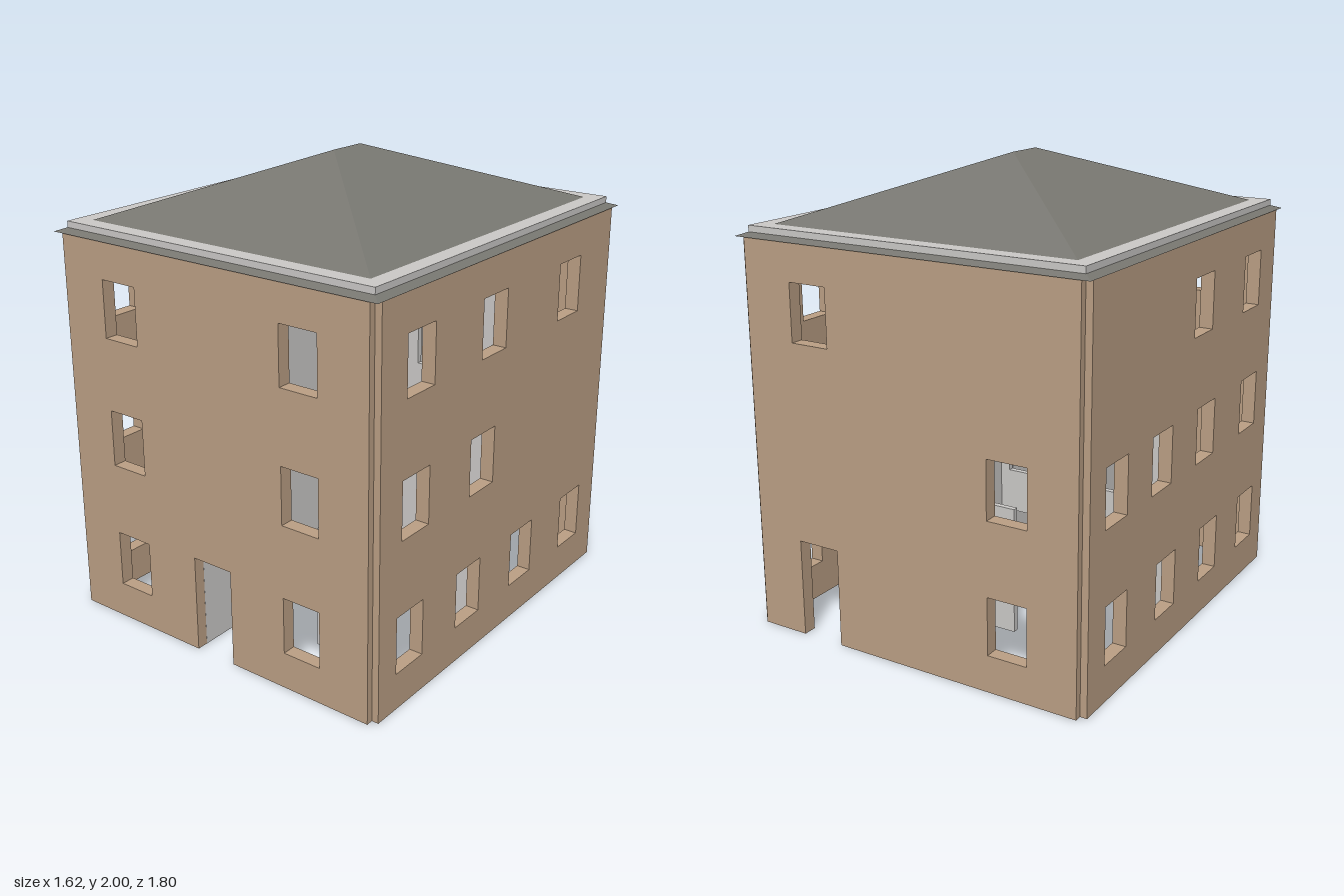
import * as THREE from 'three';

const material = (name, color, side = THREE.FrontSide) => {
  const m = new THREE.MeshStandardMaterial({ color, side });
  m.name = name;
  return m;
};

const STOREY = 0.565, TOP = 1.7, SLAB = 0.04;
const AX = 0.77, AZ = 0.86; // wall centre lines
const SILL = 0.16, HEAD = 0.408, WINDOW = 0.178;

// Window opening centred at c on a storey
const win = (c, storey) => [c - WINDOW / 2, c + WINDOW / 2, SILL + storey * STOREY, HEAD + storey * STOREY];
const rows = (...centres) => centres.flatMap((row, s) => row.map(c => win(c, s)));

// Upright panel from a to b; openings [a, b, bottom, top] that reach the base become doorways
function panel(a, b, y0, y1, openings, thickness) {
  const shape = new THREE.Shape();
  shape.moveTo(a, y0);
  const doors = openings.filter(o => o[2] <= y0).sort((p, q) => p[0] - q[0]);
  for (const [l, r, , h] of doors) {
    shape.lineTo(l, y0);
    shape.lineTo(l, h);
    shape.lineTo(r, h);
    shape.lineTo(r, y0);
  }
  shape.lineTo(b, y0);
  shape.lineTo(b, y1);
  shape.lineTo(a, y1);
  shape.closePath();
  for (const [l, r, lo, hi] of openings.filter(o => o[2] > y0)) {
    const hole = new THREE.Path();
    hole.moveTo(l, lo);
    hole.lineTo(l, hi);
    hole.lineTo(r, hi);
    hole.lineTo(r, lo);
    hole.closePath();
    shape.holes.push(hole);
  }
  const g = new THREE.ExtrudeGeometry(shape, { depth: thickness, bevelEnabled: false });
  return g.translate(0, 0, -thickness / 2);
}

export function createModel() {
  const model = new THREE.Group();
  model.name = 'house';
  const tan = material('tan wall', 0xbca085);
  const grey = material('light grey concrete', 0xcccac8);
  const dark = material('dark grey roof', 0x787771, THREE.DoubleSide);

  const add = (name, geometry, mat) => {
    const mesh = new THREE.Mesh(geometry, mat);
    mesh.name = name;
    model.add(mesh);
  };
  const alongX = (name, z, g, mat) => add(name, g.translate(0, 0, z), mat);
  const alongZ = (name, x, g, mat) => add(name, g.rotateY(-Math.PI / 2).translate(x, 0, 0), mat);

  // Outer walls, meeting in notched corners
  const T = 0.06;
  const pair = [-0.463, 0.45];
  alongX('frontWall', AZ, panel(-AX, AX, 0, TOP,
    [...rows(pair, pair, pair), [-0.11, 0.085, 0, 0.43]], T), tan);
  alongX('backWall', -AZ, panel(-AX, AX, 0, TOP,
    [...rows([-0.463], [-0.463], [0.455]), [0.36, 0.555, 0, 0.43]], T), tan);
  alongZ('leftWall', AX, panel(-AZ, AZ, 0, TOP,
    rows([-0.635, -0.195, 0.235, 0.655], [0.16, 0.63], [-0.503, 0.1, 0.61]), T), tan);
  alongZ('rightWall', -AX, panel(-AZ, AZ, 0, TOP,
    rows([-0.635, -0.195, 0.235, 0.655], [-0.65, -0.26, 0.16, 0.63], [0.1, 0.61]), T), tan);

  // Ceiling slab, showing as a rim through the roof
  add('ceilingSlab', new THREE.BoxGeometry(2 * AX, SLAB, 2 * AZ).translate(0, TOP + SLAB / 2, 0), grey);

  // Inner partitions on each storey
  const crossDoors = [
    [[-0.56, -0.385], [-0.095, 0.065], [0.355, 0.53]],
    [[-0.56, -0.385], [-0.095, 0.065]],
    [[-0.56, -0.405], [-0.095, 0.065], [0.375, 0.55]],
  ];
  for (let s = 0; s < 3; s++) {
    const y0 = s * STOREY, y1 = s === 2 ? TOP : y0 + STOREY;
    const head = y0 + 0.373, t = 0.025;
    const part = (a, b, ...doors) => panel(a, b, y0, y1, doors.map(([l, r]) => [l, r, y0, head]), t);
    alongX('crossPartition', -0.01, part(-0.75, 0.75, ...crossDoors[s]), grey);
    alongZ('hallPartitionRight', -0.122, part(0, 0.84, [0.33, 0.5]), grey);
    alongZ('hallPartitionLeft', 0.28, s ? part(0, 0.84) : part(0.33, 0.56), grey);
    alongZ('backPartition', 0.12, part(-0.84, 0, s === 2 ? [-0.25, -0.08] : [-0.46, -0.3]), grey);
    if (s === 0) alongX('rearPartition', -0.4, part(-0.2, 0.12), grey);
  }

  // Hipped roof: eave rectangle rising to a short ridge
  const ex = 0.81, ez = 0.9, ey = 1.698, rz = 0.09;
  const fl = [-ex, ey, ez], fr = [ex, ey, ez], bl = [-ex, ey, -ez], br = [ex, ey, -ez];
  const rf = [0, 2, rz], rb = [0, 2, -rz];
  const faces = [fl, fr, rf, br, bl, rb, fr, br, rb, fr, rb, rf, bl, fl, rf, bl, rf, rb];
  const roof = new THREE.BufferGeometry();
  roof.setAttribute('position', new THREE.Float32BufferAttribute(faces.flat(), 3));
  roof.computeVertexNormals();
  add('hippedRoof', roof, dark);

  return model;
}
